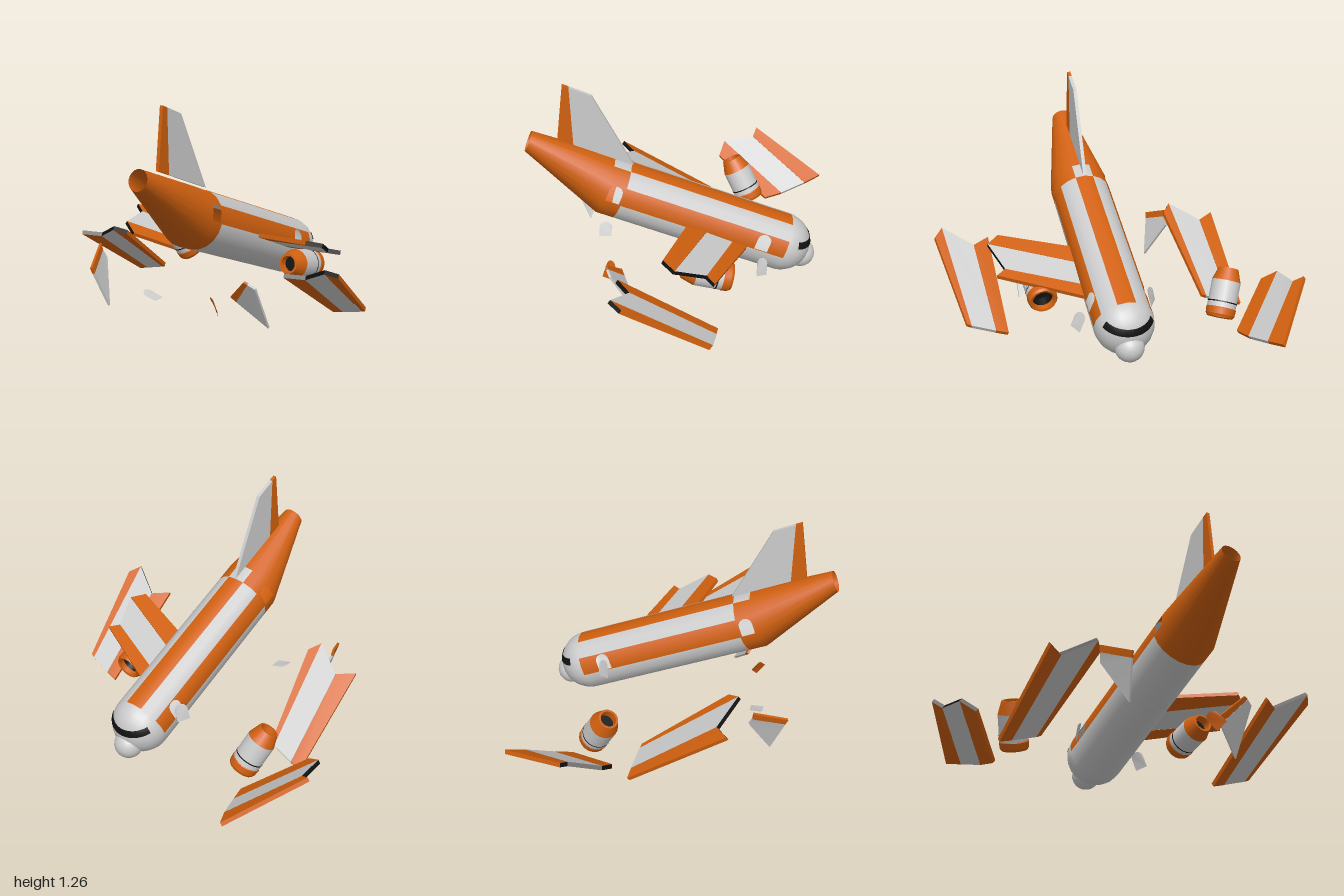
import * as THREE from 'three';

const DEG = Math.PI / 180;
const R = 0.17;
const mat = (color) => new THREE.MeshStandardMaterial({ color, side: THREE.DoubleSide });
const grey = mat(0xcccccc), orange = mat(0xd0600f), black = mat(0x111111);
const V = (a) => new THREE.Vector3(...a);

function add(parent, name, geo, material) {
  const m = new THREE.Mesh(geo, material);
  m.name = name;
  parent.add(m);
  return m;
}

// Bends a flat geometry (x along the body, y = degrees from the top) round the body
function wrap(geo) {
  const p = geo.attributes.position, n = geo.attributes.normal;
  for (let i = 0; i < p.count; i++) {
    const u = p.getX(i), a = p.getY(i) * DEG;
    const t = Math.max(0, (-0.1 - u) / 0.494); // tail taper, straight along the top
    const r = R - 0.11 * t;
    p.setXYZ(i, u, 0.11 * t + r * Math.cos(a), -r * Math.sin(a));
    n.setXYZ(i, 0, Math.cos(a), -Math.sin(a));
  }
  return geo;
}

function skin(u0, u1, a0, a1) {
  const g = new THREE.PlaneGeometry(u1 - u0, a1 - a0, 1, Math.round((a1 - a0) / 18));
  g.translate((u0 + u1) / 2, (a0 + a1) / 2, 0);
  return wrap(g);
}

// Round-topped door outline: half width w, from y0 up to y1, arch of height h
function archPoints(cx, w, y0, y1, h) {
  const pts = [new THREE.Vector2(cx - w, y0), new THREE.Vector2(cx + w, y0)];
  for (let i = 0; i <= 10; i++) {
    const a = (i / 10) * Math.PI;
    pts.push(new THREE.Vector2(cx + w * Math.cos(a), y1 - h + h * Math.sin(a)));
  }
  return pts;
}

// Side band with a doorway cut through it
function doorBand(u0, u1, cx) {
  const s = new THREE.Shape();
  for (const u of [u0, u1]) {
    const ys = u === u0 ? [-54, -72, -90] : [-90, -72, -54];
    ys.forEach((y, i) => (u === u0 && i === 0 ? s.moveTo(u, y) : s.lineTo(u, y)));
  }
  s.holes.push(new THREE.Path(archPoints(cx, 0.04, -88.5, -55.5, 12)));
  return wrap(new THREE.ShapeGeometry(s));
}

// Thin plate between four corners; the edge from the first to the last corner is the torn one
function slab(parent, name, corners, thick, material, torn = false) {
  const [a, b, c, d] = corners.map(V);
  const n = b.clone().sub(a).cross(d.clone().sub(a)).normalize();
  const g = new THREE.BoxGeometry(1, 1, 1);
  const p = g.attributes.position;
  for (let i = 0; i < p.count; i++) {
    const s = p.getX(i) + 0.5, t = p.getY(i) + 0.5;
    const v = a.clone().lerp(b, s).lerp(d.clone().lerp(c, s), t).addScaledVector(n, p.getZ(i) * thick);
    p.setXYZ(i, v.x, v.y, v.z);
  }
  g.computeVertexNormals();
  const m = material;
  add(parent, name, g, torn ? [m, black, m, m, m, m] : m);
}

// Wing piece in three strips: matching points along the torn edge and the far edge
function wing(parent, name, torn, far) {
  const group = new THREE.Group();
  group.name = name;
  [orange, grey, orange].forEach((m, i) =>
    slab(group, name + 'Strip', [torn[i], far[i], far[i + 1], torn[i + 1]], 0.024, m, true));
  parent.add(group);
}

// Jet engine from its rear centre to its front centre
function engine(parent, name, rear, front) {
  const group = new THREE.Group();
  group.name = name;
  const dir = V(front).sub(V(rear)).normalize();
  const ring = (part, pts, m) => {
    // each straight run of the profile is its own lathe, so edges stay sharp
    for (let i = 0; i < pts.length - 1; i++)
      add(group, part, new THREE.LatheGeometry([pts[i], pts[i + 1]].map((q) => new THREE.Vector2(...q)), 20), m);
  };
  ring('engineExhaust', [[0.045, 0.05], [0.045, 0], [0.057, 0], [0.083, 0.075]], orange);
  ring('engineBody', [[0.083, 0.075], [0.083, 0.23]], grey);
  ring('engineSeam', [[0.0845, 0.195], [0.0845, 0.202]], black);
  ring('engineIntakeLip', [[0.083, 0.23], [0.086, 0.235], [0.083, 0.27], [0.074, 0.285], [0.06, 0.28], [0.058, 0.25]], orange);
  ring('engineInside', [[0.058, 0.25], [0.05, 0.2], [0, 0.2]], black);
  ring('engineRearInside', [[0.045, 0.05], [0, 0.05]], black);
  group.position.copy(V(rear));
  group.quaternion.setFromUnitVectors(new THREE.Vector3(0, 1, 0), dir);
  parent.add(group);
}

// Loose curved door
function door(parent, name, pos, rot, m) {
  const g = new THREE.ShapeGeometry(new THREE.Shape(archPoints(0, 0.037, -0.053, 0.053, 0.036)));
  const p = g.attributes.position;
  for (let i = 0; i < p.count; i++) {
    const a = p.getY(i) / R;
    p.setY(i, R * Math.sin(a));
    p.setZ(i, R * (Math.cos(a) - 1));
  }
  g.computeVertexNormals();
  const d = add(parent, name, g, m);
  d.position.set(...pos);
  d.rotation.set(...rot);
}

export function createModel() {
  const model = new THREE.Group();

  // Fuselage, tilted nose down
  const body = new THREE.Group();
  body.name = 'fuselage';
  body.position.set(-0.354, 0.583, 0.1);
  body.rotation.z = -22.2 * DEG;
  model.add(body);
  add(body, 'roofStripe', skin(0, 1, -18, 18), orange);
  add(body, 'belly', skin(0, 1, 90, 270), grey);
  add(body, 'rearRoofPatch', skin(-0.1, 0, -18, 18), grey);
  add(body, 'rearBelly', skin(-0.1, 0, 90, 270), orange);
  const tail = skin(-0.594, -0.1, 0, 360);
  add(body, 'tailCone', tail, orange);
  for (const s of [1, -1]) {
    const side = new THREE.Group();
    side.name = 'fuselageSide';
    side.scale.z = s;
    body.add(side);
    add(side, 'upperBand', skin(0, 1, -54, -18), grey);
    add(side, 'rearUpperBand', skin(-0.1, 0, -54, -18), orange);
    add(side, 'frontDoorBand', doorBand(0, 1, 0.856), orange);
    add(side, 'rearDoorBand', doorBand(-0.1, 0, -0.052), orange);
  }

  // Nose dome, nose ball and windshield
  const dome = add(body, 'noseDome', new THREE.SphereGeometry(R, 20, 10, 0, Math.PI * 2, 0, Math.PI / 2), grey);
  dome.position.x = 1;
  dome.rotation.z = -Math.PI / 2;
  const ball = add(body, 'noseBall', new THREE.SphereGeometry(0.083, 24, 16), grey);
  ball.position.set(1.141, -0.035, 0);
  const shield = add(body, 'windshield',
    new THREE.SphereGeometry(R + 0.003, 24, 4, 115 * DEG, 130 * DEG, 52 * DEG, 14 * DEG), black);
  shield.position.x = 1;

  // Fin
  slab(model, 'finRudder', [[-0.7, 0.925, 0.1], [-0.612, 0.888, 0.1], [-0.622, 1.253, 0.1], [-0.658, 1.268, 0.1]], 0.02, orange);
  slab(model, 'fin', [[-0.612, 0.888, 0.1], [-0.28, 0.75, 0.1], [-0.5, 1.2, 0.1], [-0.622, 1.253, 0.1]], 0.02, grey);

  // Wing stump still attached to the body
  wing(model, 'attachedWing',
    [[-0.122, 0.488, 0.66], [-0.06, 0.468, 0.73], [0.115, 0.384, 0.665], [0.158, 0.37, 0.72]],
    [[0.018, 0.428, 0.255], [0.13, 0.38, 0.255], [0.28, 0.313, 0.255], [0.365, 0.278, 0.255]]);

  // Two outer wing pieces lying on either side
  for (const dz of [0, -1.4])
    wing(model, 'outerWing',
      [[-0.37, 0.372, 0.68], [-0.305, 0.36, 0.775], [-0.4, 0.45, 0.945], [-0.34, 0.42, 0.995]].map(([x, y, z]) => [x, y, z + dz]),
      [[0.18, 0.014, 0.672], [0.17, 0.032, 0.74], [0.145, 0.07, 0.875], [0.137, 0.08, 0.9]].map(([x, y, z]) => [x, y, z + dz]));

  // Torn inner wing
  wing(model, 'tornWing',
    [[0.245, 0.19, -0.835], [0.28, 0.245, -0.92], [0.465, 0.265, -0.94], [0.49, 0.3, -0.995]],
    [[0.53, 0.03, -0.585], [0.635, 0.045, -0.615], [0.785, 0.085, -0.67], [0.885, 0.11, -0.72]]);

  // Loose stabilizers
  const stabilizer = (edge, mid, out) => {
    slab(model, 'stabilizerElevator', [edge[0], edge[1], mid[1], mid[0]], 0.014, orange);
    slab(model, 'stabilizer', [mid[0], mid[1], out[1], out[0]], 0.014, grey);
  };
  stabilizer([[-0.67, 0.29, -0.4], [-0.485, 0.375, -0.485]],
    [[-0.655, 0.255, -0.395], [-0.478, 0.335, -0.48]],
    [[-0.57, 0.05, -0.36], [-0.458, 0.285, -0.465]]);
  stabilizer([[-0.435, 0.315, 0.47], [-0.36, 0.185, 0.335]],
    [[-0.43, 0.305, 0.492], [-0.345, 0.157, 0.363]],
    [[-0.412, 0.28, 0.53], [-0.26, 0.01, 0.52]]);

  // Engines
  engine(model, 'attachedEngine', [-0.01, 0.305, 0.48], [0.268, 0.238, 0.48]);
  engine(model, 'looseEngine', [0.31, 0.325, -0.6], [0.43, 0.09, -0.51]);

  // Doors thrown open or fallen off
  door(model, 'frontDoor', [0.45, 0.187, 0.327], [-0.45, 0.6, 0], grey);
  door(model, 'frontDoor', [0.45, 0.287, -0.097], [0.3, Math.PI - 0.6, 0], grey);
  door(model, 'rearDoor', [-0.425, 0.137, 0.275], [-0.5, 0.8, -0.4], orange);
  door(model, 'rearDoor', [-0.467, 0.125, -0.132], [Math.PI / 2 + 0.35, 0, Math.PI], grey);
  return model;
}
